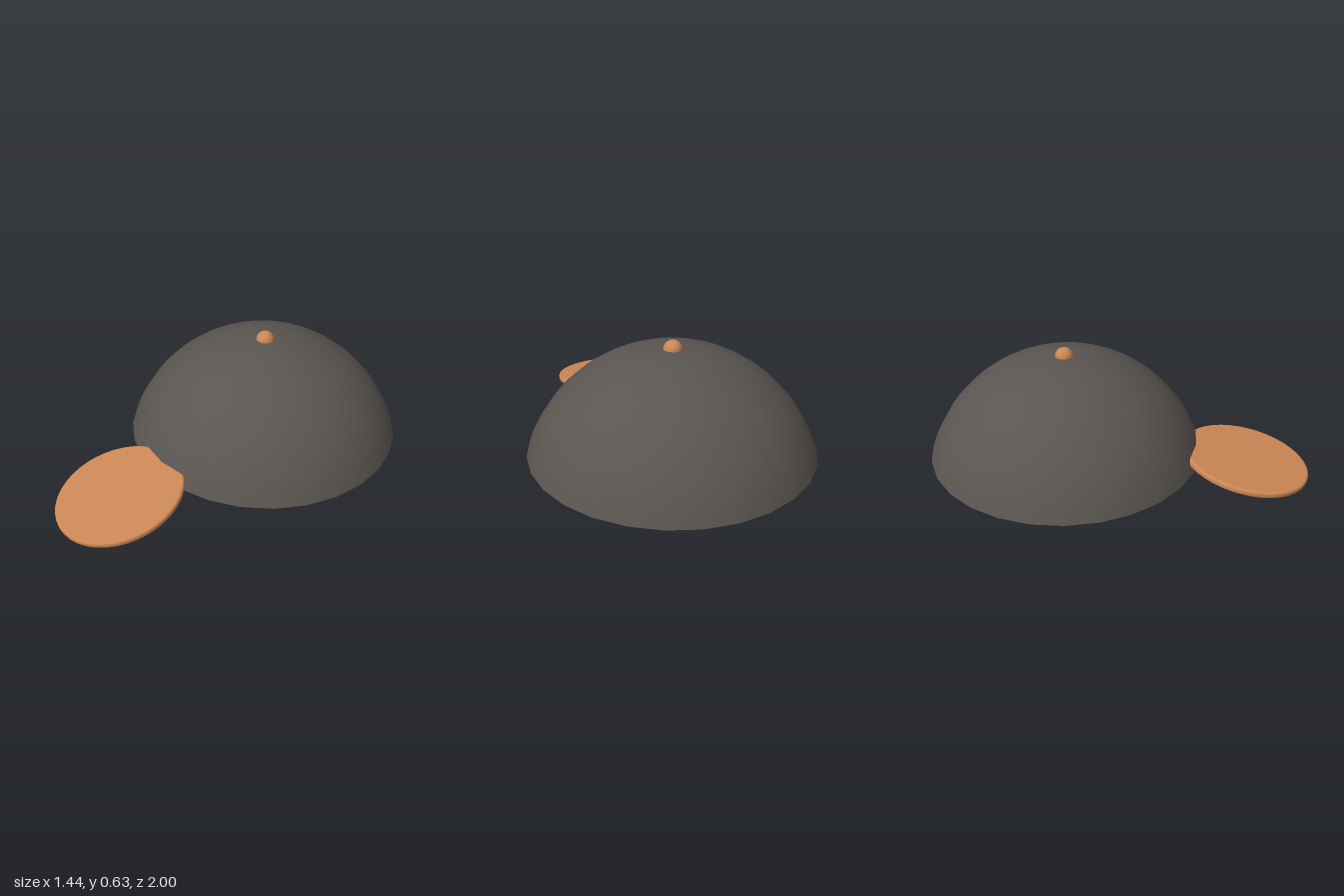
import * as THREE from 'three';

const V = (x, y) => new THREE.Vector2(x, y);

// points on an arc; angle measured from the +y axis
const arc = (r, from, to, n, cx = 0, cy = 0) =>
  Array.from({ length: n + 1 }, (_, i) => {
    const a = from + (to - from) * i / n;
    return V(Math.max(0, cx + r * Math.sin(a)), cy + r * Math.cos(a));
  });

// one group of lathed strips, so the edges between the strips stay sharp
function lathed(name, profiles, sides, material) {
  const group = new THREE.Group();
  group.name = name;
  for (const [part, points] of Object.entries(profiles)) {
    const mesh = new THREE.Mesh(new THREE.LatheGeometry(points, sides), material);
    mesh.name = part;
    group.add(mesh);
  }
  return group;
}

export function createModel() {
  const model = new THREE.Group();
  model.name = 'cap';
  const cloth = new THREE.MeshStandardMaterial({ color: 0x5a5550 });
  const accent = new THREE.MeshStandardMaterial({ color: 0xcc8855 });

  // crown: hollow spherical cap with a narrow rim
  const R = 0.757, inner = 0.735, open = Math.PI * 0.4;
  const outerArc = arc(R, open, 0, 14);
  const innerArc = arc(inner, 0, open, 14);
  const crown = lathed('crown', {
    crownOuter: outerArc,
    crownRim: [innerArc[14], outerArc[0]],
    crownLining: innerArc,
  }, 28, cloth);
  crown.position.set(0, 0.595 - R, -0.28);
  model.add(crown);

  // visor: thin oval disc with a rounded edge, sloping down to the front
  const r = 0.302, t = 0.017;
  const visor = lathed('visor', {
    visorUnderside: [V(0, -t), V(r - 0.012, -t)],
    visorEdge: [
      ...arc(0.012, Math.PI, Math.PI / 2, 4, r - 0.012, -t + 0.012),
      ...arc(0.012, Math.PI / 2, 0, 4, r - 0.012, t - 0.012),
    ],
    visorTop: [V(r - 0.012, t), V(0, t)],
  }, 40, accent);
  visor.scale.z = 1.1;
  visor.rotation.x = THREE.MathUtils.degToRad(10);
  visor.position.set(0, 0.077, 0.672);
  model.add(visor);

  // button on the top of the crown
  const button = new THREE.Mesh(new THREE.SphereGeometry(0.047, 20, 14), accent);
  button.name = 'button';
  button.position.set(0, 0.59, -0.28);
  model.add(button);

  return model;
}
